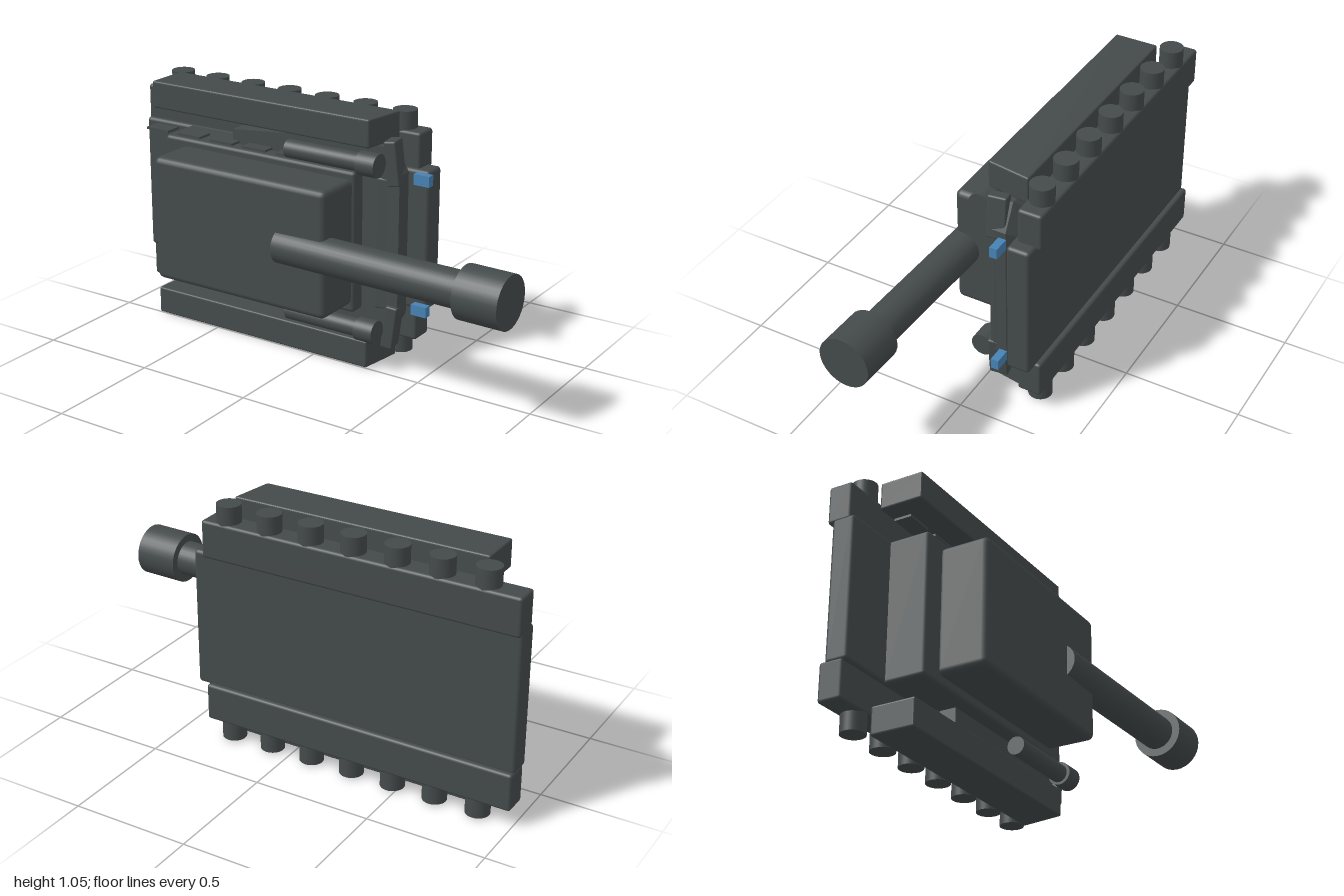
import * as THREE from 'three';
import { RoundedBoxGeometry } from 'three/addons/geometries/RoundedBoxGeometry.js';

const MID = 0.53; // the vehicle lies on its side and mirrors about this height

export function createModel() {
  const model = new THREE.Group();
  model.name = 'armouredVehicle';
  const armour = new THREE.MeshStandardMaterial({ color: 0x444a4a });
  armour.name = 'armour grey';
  const lamp = new THREE.MeshStandardMaterial({ color: 0x4682b4 });
  lamp.name = 'lamp blue';

  const add = (name, geometry, material = armour) => {
    const mesh = new THREE.Mesh(geometry, material);
    mesh.name = name;
    model.add(mesh);
    return mesh;
  };
  // Box given by its limits, with softened edges when r > 0
  const box = (name, [x0, x1], [y0, y1], [z0, z1], r = 0, material = armour) => {
    const size = [x1 - x0, y1 - y0, z1 - z0];
    const geometry = r ? new RoundedBoxGeometry(...size, 2, r) : new THREE.BoxGeometry(...size);
    const mesh = add(name, geometry, material);
    mesh.position.set((x0 + x1) / 2, (y0 + y1) / 2, (z0 + z1) / 2);
    return mesh;
  };
  // Cylinder between two points
  const rod = (name, a, b, radius) => {
    const start = new THREE.Vector3(...a), end = new THREE.Vector3(...b);
    const dir = end.clone().sub(start);
    const mesh = add(name, new THREE.CylinderGeometry(radius, radius, dir.length(), 32));
    mesh.position.copy(start).add(end).multiplyScalar(0.5);
    mesh.quaternion.setFromUnitVectors(new THREE.Vector3(0, 1, 0), dir.normalize());
    return mesh;
  };

  // Hull and turret
  box('lowerHull', [-1, 0.43], [0.235, 0.83], [-0.275, -0.175], 0.015);
  box('upperHull', [-0.76, 0.19], [0.23, 0.83], [-0.19, -0.003], 0.015);
  box('turret', [-0.665, 0.18], [0.265, 0.8], [-0.02, 0.2], 0.025);

  // Wedge-shaped nose, undercut towards the lower hull
  const rings = [[-0.065, 1, 0], [-0.135, 1, 0], [-0.19, 0.86, -0.06]];
  const outline = [[-0.45, -0.36], [-0.1, -0.395], [0.3, -0.41], [0.36, -0.3],
    [0.36, 0.3], [0.3, 0.41], [-0.1, 0.395], [-0.45, 0.36]];
  const points = [], faces = [], n = outline.length;
  for (const [z, scale, shift] of rings)
    for (const [x, y] of outline) points.push(x + shift, MID + y * scale, z);
  for (let k = 0; k < rings.length - 1; k++)
    for (let i = 0; i < n; i++) {
      const a = k * n + i, b = k * n + (i + 1) % n;
      faces.push(a, a + n, b, b, a + n, b + n);
    }
  for (let i = 1; i < n - 1; i++) {
    const end = (rings.length - 1) * n;
    faces.push(0, i, i + 1, end, end + i + 1, end + i);
  }
  let nose = new THREE.BufferGeometry();
  nose.setAttribute('position', new THREE.Float32BufferAttribute(points, 3));
  nose.setIndex(faces);
  nose = nose.toNonIndexed();
  nose.computeVertexNormals();
  add('nose', nose);
  const glacis = box('frontPlate', [0.25, 0.36], [0.25, 0.81], [-0.12, -0.065], 0.01);
  glacis.rotation.y = 0.1;

  // Main gun, tilted slightly outward
  rod('gunBarrel', [-0.05, MID, 0.16], [0.82, MID, 0.186], 0.075);
  rod('muzzle', [0.8, MID, 0.186], [0.99, MID, 0.191], 0.109);

  // Parts repeated on both flanks
  for (const s of [1, -1]) {
    const span = (a, b) => [MID + s * a, MID + s * b].sort((p, q) => p - q);

    box('track', [-1, 0.375], span(0.285, 0.445), [-0.297, -0.193], 0.012);

    const skirt = box('sideSkirt', [-0.82, 0.285], span(0.41, 0.527), [-0.19, 0], 0.008);
    const pos = skirt.geometry.attributes.position; // lean the front end back
    for (let i = 0; i < pos.count; i++)
      if (pos.getX(i) > 0) pos.setX(i, pos.getX(i) - 0.03 * (pos.getZ(i) + 0.095) / 0.19);
    skirt.geometry.computeVertexNormals();

    for (let i = 0; i < 7; i++) {
      const x = -0.845 + i * 0.1867;
      rod('wheel', [x, MID + s * 0.3, -0.245], [x, MID + s * 0.52, -0.245], 0.05);
    }

    // Side gun with a wider tip
    rod('sideGun', [-0.12, MID + s * 0.352, 0.005], [0.24, MID + s * 0.352, 0.005], 0.038);
    rod('sideGunTip', [0.225, MID + s * 0.352, 0.007], [0.31, MID + s * 0.352, 0.007], 0.049);

    const fender = box('fenderPlate', [0.3, 0.352], span(0.255, 0.44), [-0.125, -0.045], 0.008);
    fender.rotation.set(0, 0.15, s * 0.12);

    box('lamp', [0.39, 0.46], span(0.255, 0.3), [-0.155, -0.122], 0, lamp);
  }

  // Row of small armour tiles along the upper flank
  for (let i = 0; i < 5; i++) {
    const x = -0.868 + i * 0.168;
    box('armourTile', [x, x + 0.115], [0.835, 0.845], [-0.085, -0.012]);
  }
  return model;
}
